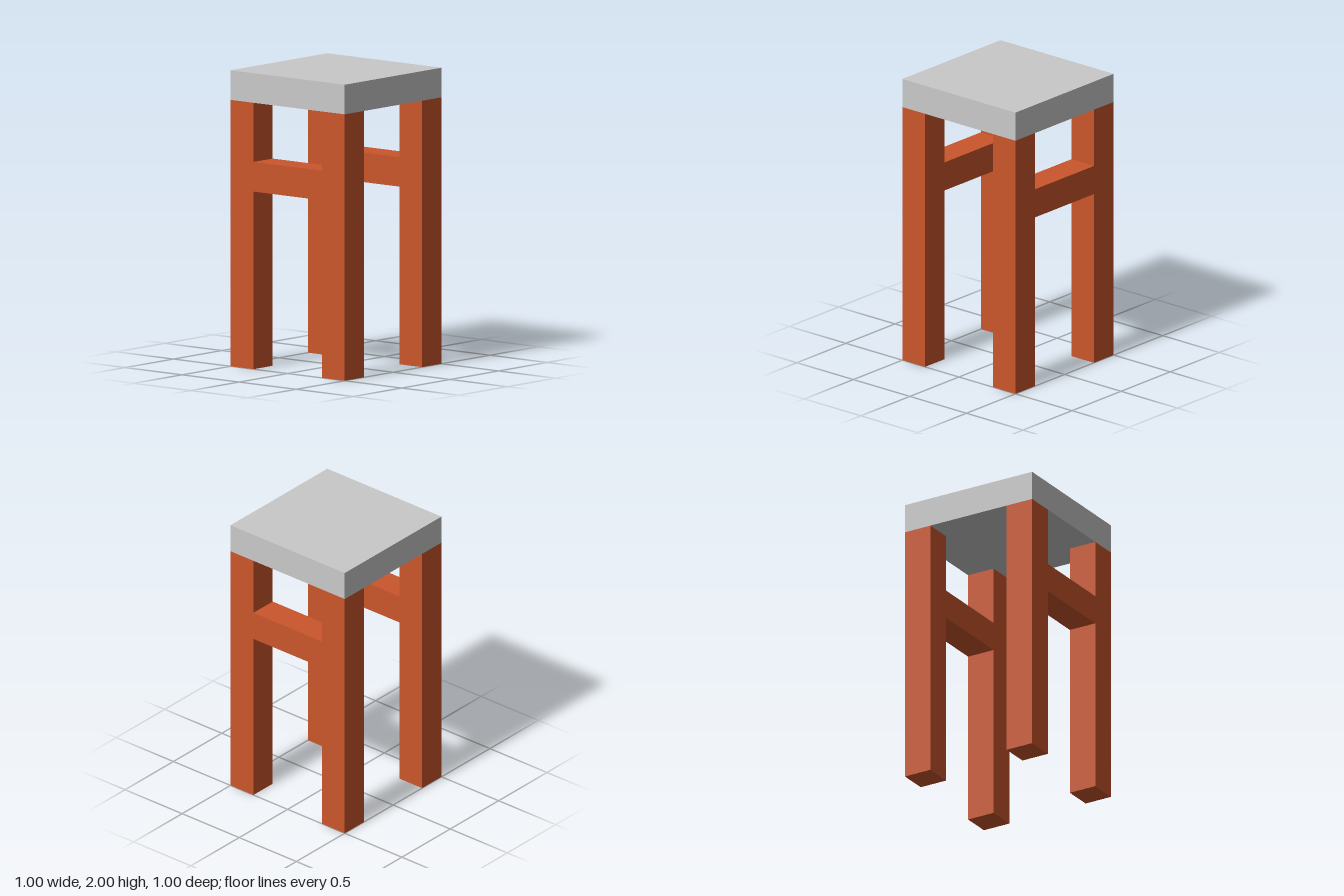
import * as THREE from 'three';

export function createModel() {
  const group = new THREE.Group();
  group.name = 'stool';

  const seatGrey = new THREE.MeshStandardMaterial({ name: 'seatGrey', color: 0xc9c9c9 });
  const legOrange = new THREE.MeshStandardMaterial({ name: 'legOrange', color: 0xca562c });

  const addBox = (name, material, size, position) => {
    const mesh = new THREE.Mesh(new THREE.BoxGeometry(...size), material);
    mesh.name = name;
    mesh.position.set(...position);
    group.add(mesh);
  };

  // Square slab seat
  addBox('seat', seatGrey, [1, 0.2, 1], [0, 1.9, 0]);

  // Front and back frames: two square legs joined by a rail
  for (const [end, z] of [['front', 0.4], ['back', -0.4]]) {
    for (const [side, x] of [['Left', 0.4], ['Right', -0.4]]) {
      addBox(`${end}${side}Leg`, legOrange, [0.2, 1.8, 0.2], [x, 0.9, z]);
    }
    addBox(`${end}Rail`, legOrange, [0.6, 0.2, 0.2], [0, 1.3, z]);
  }

  return group;
}
